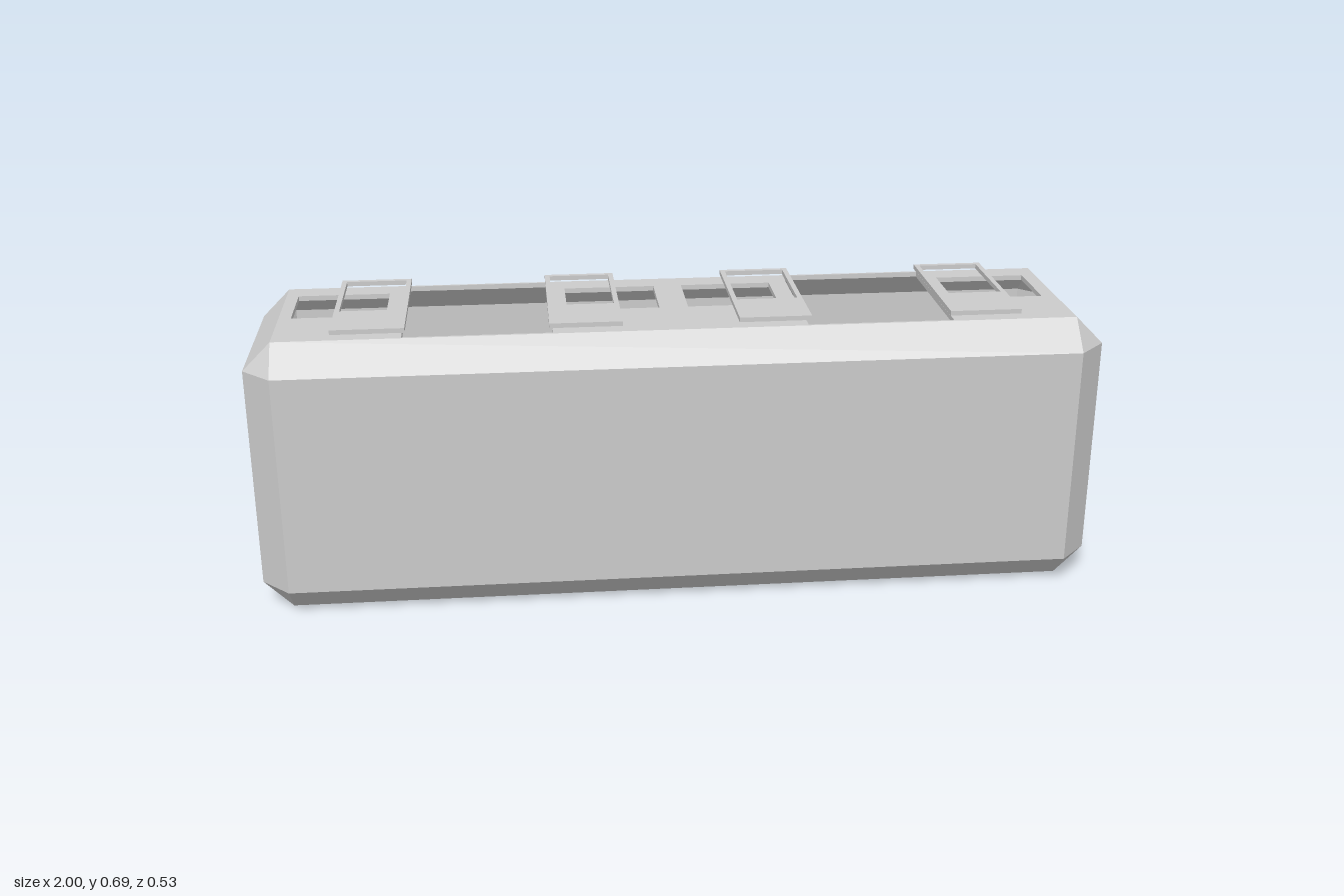
import * as THREE from 'three';

const HALF = [1, 0.3335, 0.2665]; // half length, height, depth
const CH = 0.067;                 // chamfer
const T = 0.012;                  // wall thickness
const material = new THREE.MeshStandardMaterial({ color: 0xcccccc, flatShading: true });

// Chamfered box without its top and bottom faces, facing out or in
function chamferedShell(half, c, inward) {
  const verts = [];
  const point = (s, axis) => new THREE.Vector3(...half.map((h, i) => s[i] * (i === axis ? h : h - c)));
  const tri = (p, q, r) => {
    const normal = q.clone().sub(p).cross(r.clone().sub(p));
    const facesOut = normal.dot(p.clone().add(q).add(r)) > 0;
    const order = facesOut !== inward ? [p, q, r] : [p, r, q];
    order.forEach((v) => verts.push(v.x, v.y, v.z));
  };
  const quad = (p, q, r, s) => { tri(p, q, r); tri(p, r, s); };
  const signs = (axes, values) => {
    const s = [0, 0, 0];
    axes.forEach((a, i) => { s[a] = values[i]; });
    return s;
  };
  for (let k = 0; k < 3; k++) {
    const a = (k + 1) % 3, b = (k + 2) % 3;
    // flat ends and long sides
    if (k !== 1) for (const sk of [-1, 1]) {
      quad(...[[-1, -1], [1, -1], [1, 1], [-1, 1]].map(([u, v]) => point(signs([k, a, b], [sk, u, v]), k)));
    }
    // edge chamfers running along axis k
    for (const u of [-1, 1]) for (const v of [-1, 1]) {
      const lo = signs([k, a, b], [-1, u, v]), hi = signs([k, a, b], [1, u, v]);
      quad(point(lo, a), point(hi, a), point(hi, b), point(lo, b));
    }
  }
  // corner triangles
  for (const x of [-1, 1]) for (const y of [-1, 1]) for (const z of [-1, 1]) {
    const s = [x, y, z];
    tri(point(s, 0), point(s, 1), point(s, 2));
  }
  const g = new THREE.BufferGeometry();
  g.setAttribute('position', new THREE.Float32BufferAttribute(verts, 3));
  g.computeVertexNormals();
  return g.translate(0, HALF[1], 0);
}

// Horizontal plate; rectangles are [x0, x1, z0, z1]
function plate(rect, holes, y, thickness) {
  const trace = (path, [x0, x1, z0, z1]) => {
    path.moveTo(x0, -z1);
    path.lineTo(x1, -z1);
    path.lineTo(x1, -z0);
    path.lineTo(x0, -z0);
    path.closePath();
    return path;
  };
  const shape = trace(new THREE.Shape(), rect);
  holes.forEach((h) => shape.holes.push(trace(new THREE.Path(), h)));
  return new THREE.ExtrudeGeometry(shape, { depth: thickness, bevelEnabled: false })
    .rotateX(-Math.PI / 2).translate(0, y, 0);
}

export function createModel() {
  const model = new THREE.Group();
  model.name = 'carriageBody';
  const add = (name, geometry) => {
    const mesh = new THREE.Mesh(geometry, material);
    mesh.name = name;
    model.add(mesh);
  };

  // Hollow chamfered body
  add('outerShell', chamferedShell(HALF, CH, false));
  add('innerShell', chamferedShell(HALF.map((h) => h - T), CH - 0.586 * T, true));

  // Two side walls with windows and doorways
  const windows = [-0.794, -0.147, 0.142, 0.789].map((x) => [x - 0.11, x + 0.11, -0.14, 0.032]);
  const doorways = [-0.468, 0.468].map((x) => [x - 0.172, x + 0.172, -0.193, 0.193]);
  const wall = [CH - 1, 1 - CH, CH - HALF[2], HALF[2] - CH];
  const top = 2 * HALF[1];
  add('upperSideWall', plate(wall, [...windows, ...doorways], top - T, T));
  add('lowerSideWall', plate(wall, [...windows, ...doorways], 0, T));

  // Sliding doors: open on the upper wall, closed in the lower one
  const door = (name, x, y) => {
    const w = 0.0845;
    add(name, plate([x - w, x + w, -0.191, 0.191], [[x - 0.0725, x + 0.0725, -0.178, 0.053]], y, 0.011));
  };
  for (const x of [-0.468, 0.468]) for (const side of [-1, 1]) {
    door('openDoor', x + side * 0.2485, top + 0.01);
    door('closedDoor', x + side * 0.0858, 0.0008);
  }
  return model;
}
